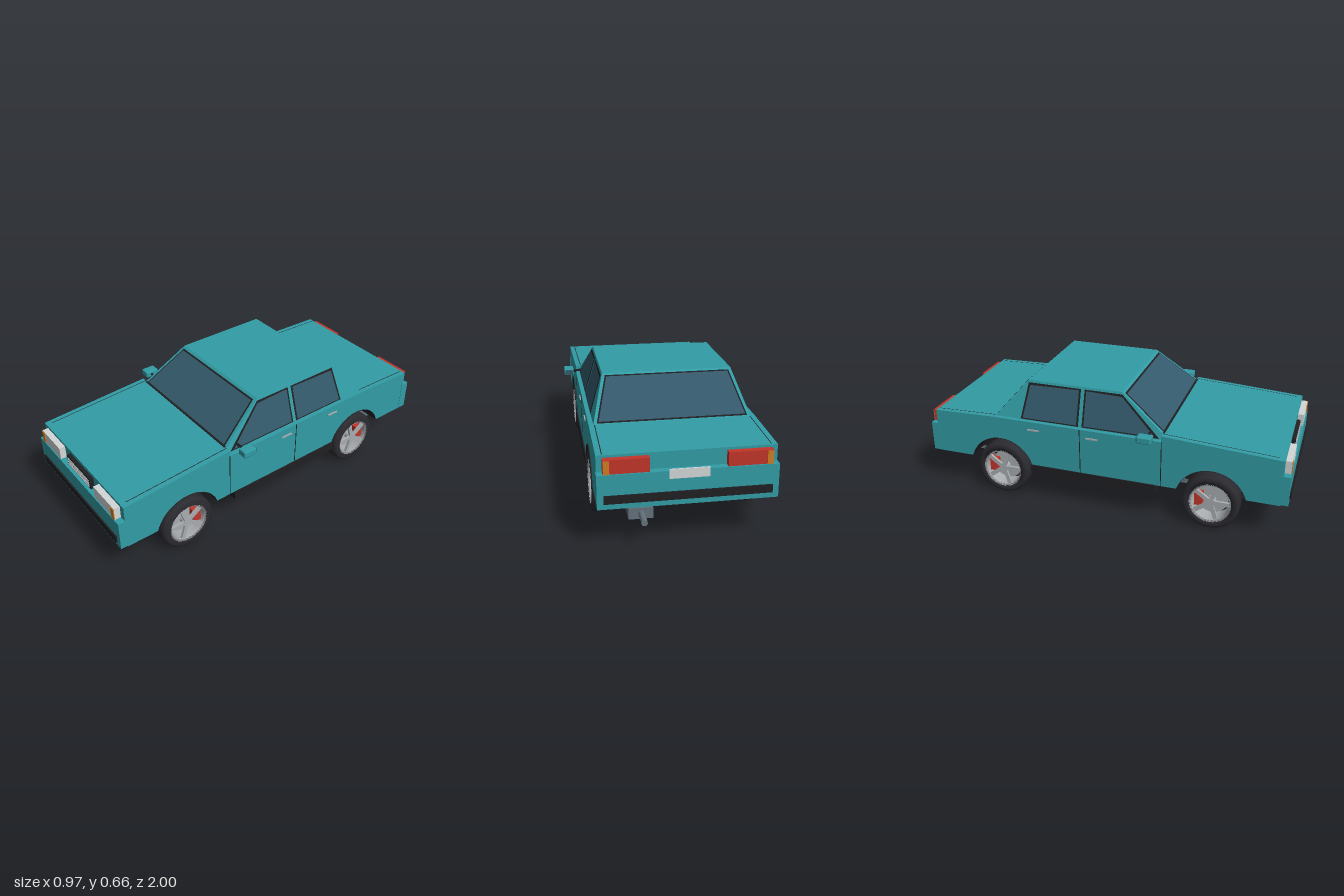
import * as THREE from 'three';
import { RoundedBoxGeometry } from 'three/addons/geometries/RoundedBoxGeometry.js';

const mat = (name, color, side = THREE.FrontSide) => {
  const m = new THREE.MeshStandardMaterial({ color, side });
  m.name = name;
  return m;
};

export function createModel() {
  const car = new THREE.Group();
  car.name = 'sedan';
  const paint = mat('teal paint', 0x329ca5);
  const glass = mat('tinted glass', 0x345a6c);
  const trim = mat('black trim', 0x202024, THREE.DoubleSide);
  const rubber = mat('tyre rubber', 0x2b2a30, THREE.DoubleSide);
  const lamp = mat('clear lamp', 0xd2d7d8);
  const silver = mat('wheel silver', 0xa9adb0, THREE.DoubleSide);
  const metal = mat('chassis metal', 0x64727c);
  const floor = mat('floor grey', 0x4b5458);
  const red = mat('red', 0xc2352a);
  const amber = mat('amber', 0xd07c22);

  const add = (name, geo, m, parent = car) => {
    const mesh = new THREE.Mesh(geo, m);
    mesh.name = name;
    parent.add(mesh);
    return mesh;
  };
  // Box from its minimum and maximum on each axis
  const box = (name, m, x0, x1, y0, y1, z0, z1, parent) => add(name,
    new THREE.BoxGeometry(Math.abs(x1 - x0), y1 - y0, z1 - z0)
      .translate((x0 + x1) / 2, (y0 + y1) / 2, (z0 + z1) / 2), m, parent);
  // Same box on both sides of the car
  const pair = (name, m, x0, x1, ...r) => {
    box(name + 'Left', m, x0, x1, ...r);
    box(name + 'Right', m, -x1, -x0, ...r);
  };
  // Side outline (z, y) extruded between two x positions
  const slab = (name, shape, x0, x1, m) => add(name,
    new THREE.ExtrudeGeometry(shape, { depth: x1 - x0, bevelEnabled: false, curveSegments: 12 })
      .rotateY(-Math.PI / 2).translate(x1, 0, 0), m);
  const outline = pts => new THREE.Shape(pts.map(p => new THREE.Vector2(...p)));
  // Round bar between two points
  const rod = (name, m, a, b, r) => {
    const p = new THREE.Vector3(...a), q = new THREE.Vector3(...b);
    const mesh = add(name, new THREE.CylinderGeometry(r, r, p.distanceTo(q), 12), m);
    mesh.position.copy(p).lerp(q, 0.5);
    mesh.quaternion.setFromUnitVectors(new THREE.Vector3(0, 1, 0), q.sub(p).normalize());
  };
  // Flat polygon facing away from the middle of the car
  const centre = new THREE.Vector3(0, 0.3, -0.1);
  const plate = (name, pts, m, lift) => {
    const v = pts.map(p => new THREE.Vector3(...p));
    const normal = () => v[1].clone().sub(v[0]).cross(v[2].clone().sub(v[0])).normalize();
    if (normal().dot(v[0].clone().sub(centre)) < 0) v.reverse();
    const n = normal();
    v.forEach(p => p.addScaledVector(n, lift));
    const tris = [];
    for (let i = 1; i < v.length - 1; i++) tris.push(v[0], v[i], v[i + 1]);
    const g = new THREE.BufferGeometry().setFromPoints(tris);
    g.computeVertexNormals();
    add(name, g, m);
  };

  // Upper body with sloping bonnet and boot lid
  slab('upperBody', outline([[0.95, 0.36], [0.95, 0.452], [0.335, 0.49], [0.335, 0.457],
    [-0.6, 0.46], [-0.95, 0.45], [-0.95, 0.36]]), -0.413, 0.413, paint);
  box('cowlVent', trim, -0.375, 0.375, 0.48, 0.4915, 0.333, 0.343);

  // Lower side panels with wheel arches
  const axles = [0.6, -0.565], archR = 0.187, sill = 0.203;
  const half = Math.sqrt(archR ** 2 - (sill - 0.15) ** 2);
  const a0 = Math.asin((sill - 0.15) / archR), sweep = Math.PI - 2 * a0;
  const side = new THREE.Shape();
  side.moveTo(-0.95, 0.362);
  side.lineTo(-0.95, sill);
  for (const z of [...axles].reverse()) {
    side.lineTo(z - half, sill);
    side.absarc(z, 0.15, archR, Math.PI - a0, a0, true);
  }
  side.lineTo(0.95, sill);
  side.lineTo(0.95, 0.362);
  slab('sidePanelLeft', side, 0.375, 0.413, paint);
  slab('sidePanelRight', side, -0.413, -0.375, paint);
  pair('sill', trim, 0.36, 0.42, 0.155, 0.204, -0.39, 0.31);

  // Bumpers, rub strips and number plate
  box('frontBumper', paint, -0.415, 0.415, 0.21, 0.37, 0.94, 0.987);
  box('rearBumper', paint, -0.415, 0.415, 0.205, 0.37, -0.987, -0.94);
  box('frontRubStrip', trim, -0.385, 0.385, 0.233, 0.272, 0.98, 0.995);
  box('rearRubStrip', trim, -0.385, 0.385, 0.233, 0.272, -0.995, -0.98);
  box('numberPlate', lamp, -0.092, 0.092, 0.335, 0.38, -0.993, -0.985);

  // Lamps, with thin indicators on their outer ends
  pair('headlight', lamp, 0.18, 0.378, 0.371, 0.438, 0.94, 0.982);
  pair('frontIndicator', amber, 0.35, 0.377, 0.371, 0.434, 0.977, 0.986);
  pair('tailLight', red, 0.178, 0.386, 0.371, 0.438, -0.982, -0.94);
  pair('rearIndicator', amber, 0.357, 0.385, 0.371, 0.434, -0.986, -0.977);

  // Grille with slats
  box('grille', trim, -0.122, 0.122, 0.371, 0.433, 0.94, 0.97);
  for (let i = 0; i < 4; i++) {
    const y = 0.381 + i * 0.0125;
    box('grilleSlat', silver, -0.112, 0.112, y, y + 0.003, 0.965, 0.974);
  }

  // Cabin: a box drawn in towards the roof
  const cabin = new THREE.BoxGeometry(2, 1, 2);
  const cp = cabin.attributes.position;
  for (let i = 0; i < cp.count; i++) {
    const top = cp.getY(i) > 0, front = cp.getZ(i) > 0;
    cp.setXYZ(i, Math.sign(cp.getX(i)) * (top ? 0.327 : 0.392), top ? 0.664 : 0.455,
      front ? (top ? 0.1 : 0.38) : (top ? -0.42 : -0.6));
  }
  cabin.computeVertexNormals();
  add('cabin', cabin, paint);

  // Cabin surface points by height, used to lay the glass
  const at = (y, a, b) => a + (b - a) * (y - 0.455) / 0.209;
  const sideX = y => at(y, 0.392, 0.327);
  const pane = (name, z0, z1, lo, hi, inset, m, lift) => plate(name,
    [[-1, lo], [1, lo], [1, hi], [-1, hi]].map(([s, y]) => [s * (sideX(y) - inset), y, at(y, z0, z1)]), m, lift);
  pane('windscreenSeal', 0.38, 0.1, 0.485, 0.654, 0.016, trim, 0.002);
  pane('windscreen', 0.38, 0.1, 0.492, 0.648, 0.024, glass, 0.004);
  pane('rearWindowSeal', -0.6, -0.42, 0.463, 0.654, 0.016, trim, 0.002);
  pane('rearWindow', -0.6, -0.42, 0.469, 0.648, 0.024, glass, 0.004);

  for (const s of [1, -1]) {
    const lay = (name, pts, m, lift) =>
      plate(name, pts.map(([z, y]) => [s * sideX(y), y, z]), m, lift);
    lay('frontWindowSeal', [[0.32, 0.462], [0.105, 0.652], [-0.1, 0.652], [-0.1, 0.462]], trim, 0.002);
    lay('frontWindow', [[0.295, 0.468], [0.105, 0.64], [-0.09, 0.645], [-0.09, 0.468]], glass, 0.004);
    lay('rearDoorWindowSeal', [[-0.12, 0.462], [-0.12, 0.652], [-0.415, 0.652], [-0.447, 0.462]], trim, 0.002);
    lay('rearDoorWindow', [[-0.13, 0.468], [-0.13, 0.645], [-0.405, 0.64], [-0.435, 0.468]], glass, 0.004);

    // Door mirror
    rod('mirrorStalk', trim, [s * 0.375, 0.484, 0.27], [s * 0.44, 0.484, 0.265], 0.007);
    add('mirror', new RoundedBoxGeometry(0.054, 0.037, 0.075, 2, 0.007), paint)
      .position.set(s * 0.459, 0.485, 0.262);
    box('mirrorGlass', glass, s * 0.438, s * 0.48, 0.471, 0.498, 0.222, 0.226);

    // Bonnet and boot gaps
    const x = s * 0.385;
    for (const [name, za, ya, zb, yb] of [['bonnetGap', 0.335, 0.49, 0.92, 0.4539], ['bootGap', -0.6, 0.46, -0.94, 0.4503]])
      plate(name, [[x - 0.002, ya, za], [x + 0.002, ya, za], [x + 0.002, yb, zb], [x - 0.002, yb, zb]], trim, 0.001);
  }

  // Door handles and gaps
  for (const z of [-0.07, -0.4]) pair('doorHandle', silver, 0.41, 0.419, 0.41, 0.418, z, z + 0.065);
  for (const z of [0.335, -0.107]) pair('doorGap', trim, 0.41, 0.4145, 0.205, 0.457, z, z + 0.004);

  // Wheels, brakes and wheel arch liners
  const tyreProfile = [[0.108, 0.05], [0.135, 0.05], [0.147, 0.042], [0.15, 0.025], [0.15, -0.025],
    [0.147, -0.042], [0.135, -0.05], [0.108, -0.05], [0.108, 0.05]];
  const rimProfile = [[0.102, -0.045], [0.102, 0.035], [0.1, 0.044], [0.11, 0.051], [0.11, -0.051]];
  const lathe = p => new THREE.LatheGeometry(p.map(q => new THREE.Vector2(...q)).reverse(), 36)
    .rotateZ(-Math.PI / 2);
  const disc = (r, w, x) => new THREE.CylinderGeometry(r, r, w, 24).rotateZ(Math.PI / 2).translate(x, 0, 0);
  for (const z of axles) for (const s of [1, -1]) {
    const wheel = new THREE.Group();
    wheel.name = (z > 0 ? 'front' : 'rear') + 'Wheel' + (s > 0 ? 'Left' : 'Right');
    wheel.position.set(s * 0.365, 0.15, z);
    add('tyre', lathe(tyreProfile), rubber, wheel);
    add('rim', lathe(rimProfile.map(([r, x]) => [r, x * s])), silver, wheel);
    add('hub', disc(0.024, 0.04, s * 0.022), silver, wheel);
    add('brakeDisc', disc(0.085, 0.01, -s * 0.015), silver, wheel);
    add('brakeShield', disc(0.08, 0.006, -s * 0.024), metal, wheel);
    box('brakeCaliper', red, -s * 0.032, s * 0.03, -0.033, 0.037, -0.087, -0.045, wheel);
    for (let i = 0; i < 5; i++) {
      const spoke = new THREE.BoxGeometry(0.014, 0.09, 0.022).translate(s * 0.034, 0.06, 0);
      add('spoke', spoke.rotateX((i + 0.25) * Math.PI * 2 / 5), silver, wheel);
    }
    car.add(wheel);
    add('archLiner', new THREE.CylinderGeometry(archR, archR, 0.133, 12, 1, true, a0, sweep)
      .rotateZ(Math.PI / 2).translate(s * 0.351, 0.15, z), trim);
    add('wheelWellWall', new THREE.CircleGeometry(archR, 12, a0, sweep)
      .rotateY(Math.PI / 2).translate(s * 0.285, 0.15, z), trim);
    rod('strut', metal, [s * 0.3, 0.15, z], [s * 0.292, 0.33, z - 0.01], 0.015);
    rod('suspensionArm', metal, [s * 0.32, 0.145, z], [s * 0.1, 0.165, z + 0.05], 0.011);
    rod('trailingArm', metal, [s * 0.31, 0.14, z], [s * 0.2, 0.175, z - 0.14], 0.01);
  }

  // Floor pans
  box('floorPan', floor, -0.37, 0.37, 0.18, 0.215, -0.4, 0.34);
  box('bootFloor', trim, -0.3, 0.3, 0.205, 0.37, -0.945, -0.74);
  box('rearFloor', floor, -0.28, 0.28, 0.26, 0.37, -0.74, -0.4);
  box('firewall', trim, -0.37, 0.37, 0.2, 0.37, 0.33, 0.345);
  box('engineBayLining', trim, -0.374, 0.374, 0.352, 0.362, 0.34, 0.938);
  box('undertray', trim, -0.3, 0.3, 0.137, 0.145, 0.74, 0.95);
  for (const z of [0.17, -0.02, -0.21]) box('floorRib', trim, -0.36, 0.36, 0.176, 0.181, z, z + 0.006);

  // Engine, drivetrain and frames
  pair('frontRail', metal, 0.215, 0.245, 0.145, 0.21, 0.36, 0.95);
  pair('rearRail', metal, 0.215, 0.245, 0.155, 0.215, -0.83, -0.73);
  box('engine', metal, -0.07, 0.07, 0.16, 0.36, 0.42, 0.76);
  box('oilPan', metal, -0.055, 0.055, 0.11, 0.17, 0.45, 0.65);
  box('frontSubframe', metal, -0.28, 0.28, 0.15, 0.19, 0.5, 0.56);
  box('rearSubframe', metal, -0.28, 0.28, 0.16, 0.195, -0.6, -0.53);
  box('differential', metal, -0.06, 0.06, 0.12, 0.2, -0.62, -0.5);
  box('transmission', metal, -0.06, 0.06, 0.145, 0.2, 0.2, 0.45);
  box('tunnel', metal, -0.04, 0.04, 0.17, 0.2, -0.4, 0.25);
  rod('driveshaft', metal, [0, 0.165, 0.22], [0, 0.155, -0.52], 0.018);
  box('radiator', trim, -0.2, 0.2, 0.2, 0.36, 0.86, 0.89);
  for (let i = 0; i < 5; i++)
    box('radiatorSlat', silver, -0.18, 0.18, 0.215 + i * 0.03, 0.22 + i * 0.03, 0.852, 0.862);

  // Exhaust
  const path = new THREE.CatmullRomCurve3([[0.1, 0.17, 0.48], [0.16, 0.145, 0.34], [0.17, 0.13, 0],
    [0.17, 0.12, -0.4], [0.2, 0.13, -0.62], [0.205, 0.13, -0.76]].map(p => new THREE.Vector3(...p)));
  add('exhaustPipe', new THREE.TubeGeometry(path, 30, 0.012, 10), metal);
  box('muffler', metal, 0.15, 0.265, 0.103, 0.158, -0.905, -0.735);
  rod('tailpipe', metal, [0.205, 0.13, -0.9], [0.205, 0.13, -1], 0.015);
  return car;
}
